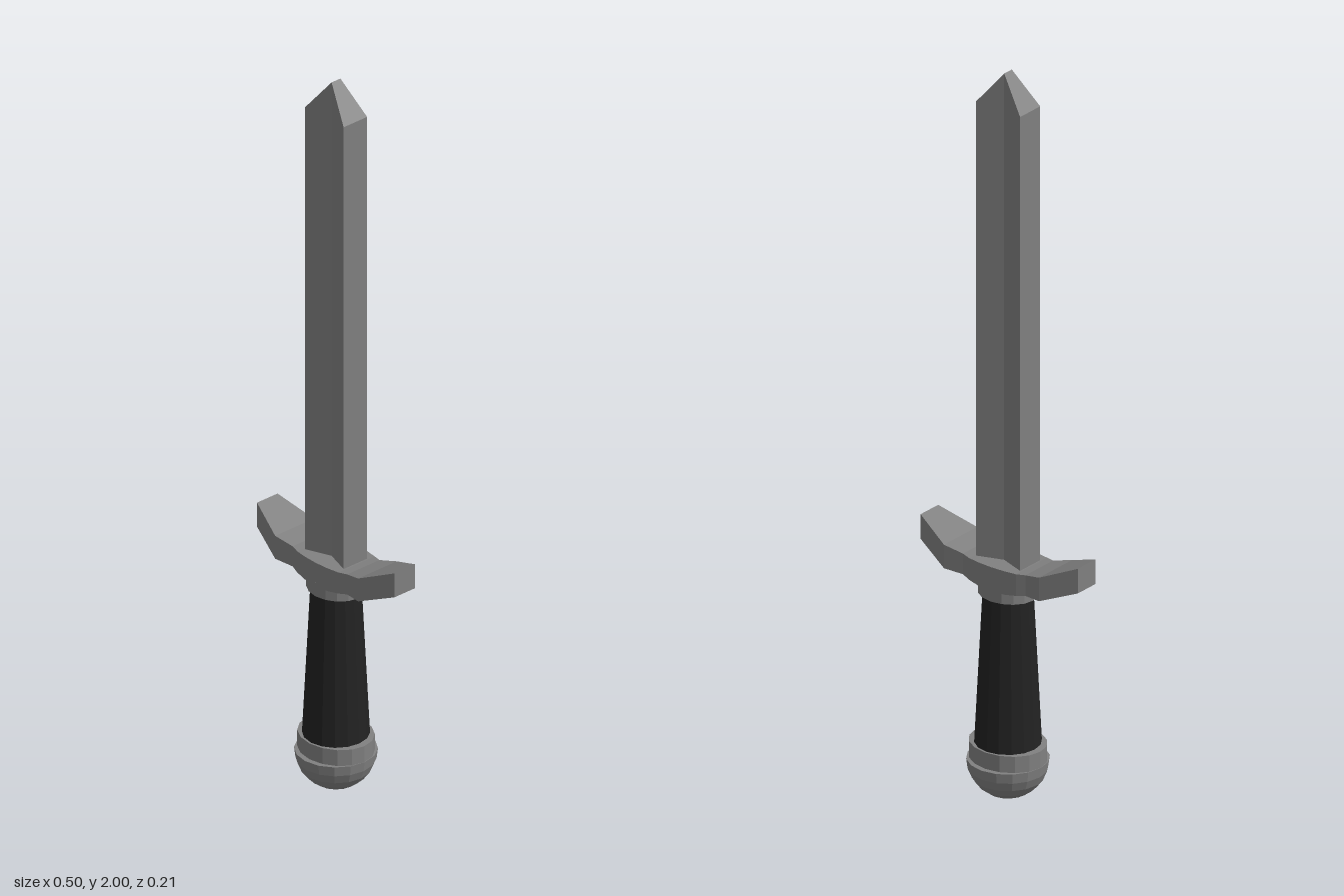
import * as THREE from 'three';

export function createModel() {
  const steel = new THREE.MeshStandardMaterial({ color: 0x808080 });
  steel.name = 'steel';
  const leather = new THREE.MeshStandardMaterial({ color: 0x222222 });
  leather.name = 'blackLeather';
  const group = new THREE.Group();
  group.name = 'sword';

  // Adds a faceted mesh
  function add(name, geometry, material) {
    const flat = geometry.toNonIndexed();
    flat.computeVertexNormals();
    const mesh = new THREE.Mesh(flat, material);
    mesh.name = name;
    group.add(mesh);
  }

  // Box lofted through mirrored stations: [x, half depth, bottom y, top y]
  function loft(half) {
    const mirrored = half.slice(1).reverse().map(([x, ...rest]) => [-x, ...rest]);
    const stations = [...mirrored, ...half];
    const n = stations.length - 1;
    const geometry = new THREE.BoxGeometry(n, 2, 2, n, 1, 1);
    const p = geometry.attributes.position;
    for (let i = 0; i < p.count; i++) {
      const [x, depth, low, high] = stations[Math.round(p.getX(i) + n / 2)];
      p.setXYZ(i, x, p.getY(i) > 0 ? high : low, p.getZ(i) * depth);
    }
    return geometry;
  }

  // Elliptical, optionally tapered, upright cylinder
  function tube(topRadius, bottomRadius, low, high, depthScale = 1) {
    return new THREE.CylinderGeometry(topRadius, bottomRadius, high - low, 16)
      .scale(1, 1, depthScale)
      .translate(0, (low + high) / 2, 0);
  }

  // Blade with a V-shaped fuller on both faces and a pointed tip
  add('blade', loft([[0, 0.015, 0.62, 2], [0.071, 0.04, 0.62, 1.91]]), steel);

  // Upswept crossguard with a rounded middle
  add('crossguard', loft([
    [0, 0.069, 0.59, 0.655],
    [0.04, 0.067, 0.59, 0.655],
    [0.075, 0.062, 0.595, 0.655],
    [0.1, 0.055, 0.6, 0.657],
    [0.152, 0.066, 0.605, 0.67],
    [0.252, 0.035, 0.645, 0.713],
  ]), steel);

  // Grip with a collar above and a ring below
  add('collar', tube(0.08, 0.08, 0.56, 0.6, 0.87), steel);
  add('grip', tube(0.064, 0.086, 0.13, 0.57), leather);
  add('pommelRing', tube(0.104, 0.104, 0.1, 0.15, 0.87), steel);

  // Half-ball pommel, closed by a flat disc
  const radius = 0.105;
  add('pommel', new THREE.SphereGeometry(radius, 16, 6, 0, Math.PI * 2, Math.PI / 2, Math.PI / 2)
    .translate(0, radius, 0), steel);
  add('pommelTop', new THREE.CircleGeometry(radius, 16).rotateX(-Math.PI / 2)
    .translate(0, radius, 0), steel);

  return group;
}
